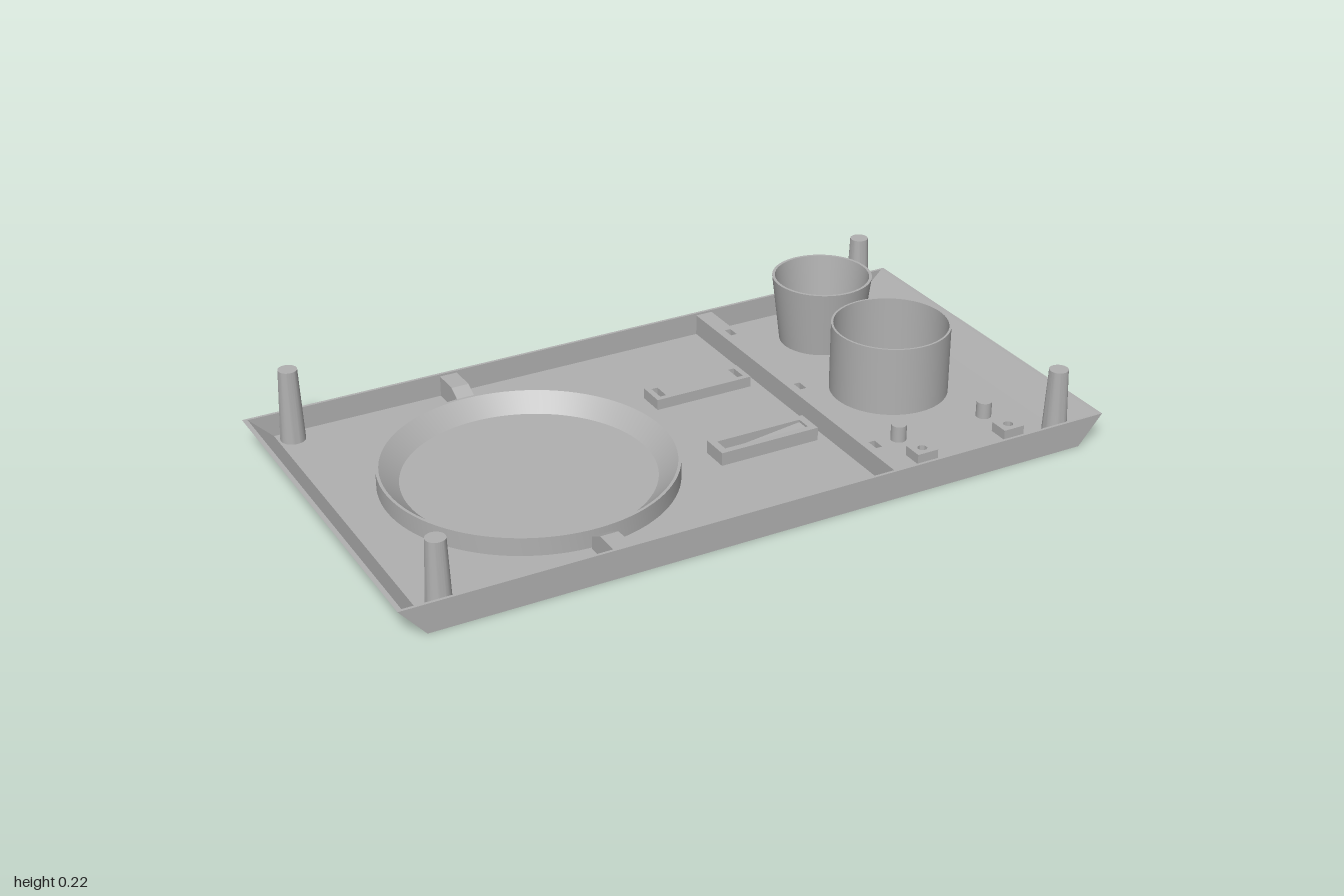
import * as THREE from 'three';
import { toCreasedNormals } from 'three/addons/utils/BufferGeometryUtils.js';

const FLOOR = 0.015, RIM = 0.08, HALF = 0.525, WALL = 0.008;

export function createModel() {
  const group = new THREE.Group();
  const grey = new THREE.MeshStandardMaterial({ color: 0xb0b0b0 });
  grey.name = 'plain grey';

  const add = (name, geo, x = 0, y = 0, z = 0) => {
    const mesh = new THREE.Mesh(geo, grey);
    mesh.name = name;
    mesh.position.set(x, y, z);
    group.add(mesh);
    return mesh;
  };
  const poly = (pts) => new THREE.Shape(pts.map(([x, y]) => new THREE.Vector2(x, y)));
  const rect = (x, z, w, d) => [[x - w / 2, z - d / 2], [x + w / 2, z - d / 2], [x + w / 2, z + d / 2], [x - w / 2, z + d / 2]];
  const extrude = (shape, depth) => new THREE.ExtrudeGeometry(shape, { depth, bevelEnabled: false, curveSegments: 16 });
  // Horizontal slab: the shape is drawn in x and z, with its top at height top
  const slab = (name, shape, bottom, top) => {
    const geo = toCreasedNormals(extrude(shape, top - bottom), 0.6);
    geo.rotateX(Math.PI / 2);
    return add(name, geo, 0, top, 0);
  };
  const circleHole = (x, z, r) => new THREE.Path().absarc(x, z, r, 0, Math.PI * 2, true);
  const turned = (name, pts, x, z, segments = 64) => {
    const geo = new THREE.LatheGeometry(pts.map(([r, y]) => new THREE.Vector2(r, y)), segments);
    return add(name, toCreasedNormals(geo, 0.5), x, 0, z);
  };

  // Tray floor with screw holes under the posts
  const floor = poly(rect(0, 0, 1.84, 2 * (HALF - WALL)));
  const corners = [[-0.88, -0.48], [0.88, -0.48], [-0.88, 0.48], [0.88, 0.48]];
  for (const [x, z] of corners) floor.holes.push(circleHole(x, z, 0.026));
  slab('trayFloor', floor, 0, FLOOR);

  // Sloping end walls
  for (const s of [1, -1]) {
    const pts = [[0.92, 0], [0.93, 0], [1, RIM], [0.987, RIM], [0.92, FLOOR]];
    const end = extrude(poly(pts.map(([x, y]) => [s * x, y])), 2 * (HALF - WALL));
    add(s > 0 ? 'leftEndWall' : 'rightEndWall', end, 0, 0, -HALF + WALL);
  }
  // Upright front and back walls
  const side = poly([[-0.93, 0], [0.93, 0], [1, RIM], [-1, RIM]]);
  add('frontWall', extrude(side, WALL), 0, 0, HALF - WALL);
  add('backWall', extrude(side, WALL), 0, 0, -HALF);

  // Tapered, bored corner posts
  for (const [x, z] of corners) {
    turned('cornerPost', [[0, 0.12], [0.018, 0.12], [0.018, FLOOR], [0.034, FLOOR], [0.0255, 0.22], [0, 0.22]], x, z, 32);
  }

  // Round dish with a sloping inner rim
  turned('dish', [[0.39, FLOOR], [0.39, 0.065], [0.382, 0.065], [0.332, FLOOR + 0.004], [0, FLOOR + 0.004]], -0.42, 0, 96);

  // Straight cup and tapered cup
  turned('straightCup', [[0.163, FLOOR], [0.163, 0.21], [0.157, 0.21], [0.157, FLOOR + 0.004], [0, FLOOR + 0.004]], 0.66, 0.025);
  turned('taperedCup', [[0.117, FLOOR], [0.141, 0.21], [0.133, 0.21], [0.109, FLOOR + 0.004], [0, FLOOR + 0.004]], 0.66, -0.33);

  // Divider with three slots
  const divider = poly(rect(0.383, 0, 0.05, 2 * (HALF - WALL)));
  for (const z of [-0.375, 0, 0.372]) divider.holes.push(poly(rect(0.39, z, 0.018, 0.036)));
  slab('divider', divider, FLOOR, 0.074);

  // Wedge brackets between the dish and the long walls
  for (const s of [1, -1]) {
    const profile = poly([[0.395, FLOOR], [0.517, FLOOR], [0.517, 0.074], [0.44, 0.074], [0.395, 0.05]]);
    const bracket = extrude(profile, 0.05);
    bracket.rotateY(-s * Math.PI / 2);
    add(s > 0 ? 'frontBracket' : 'backBracket', bracket, -0.415 + s * 0.025, 0, 0);
  }

  // Low bar with a slot near each end
  const bar = poly(rect(0.185, -0.2, 0.29, 0.08));
  for (const x of [0.065, 0.305]) bar.holes.push(poly(rect(x, -0.2, 0.018, 0.05)));
  slab('slottedBar', bar, FLOOR, 0.045);

  // Frame with a sloping wedge inside
  const frame = poly(rect(0.185, 0.15, 0.29, 0.08));
  frame.holes.push(poly(rect(0.185, 0.15, 0.25, 0.042)));
  slab('pocketFrame', frame, FLOOR, 0.052);
  add('pocketWedge', extrude(poly([[0.06, FLOOR], [0.31, FLOOR], [0.31, 0.045]]), 0.042), 0, 0, 0.129);

  // Small pegs and pierced blocks
  for (const x of [0.52, 0.793]) {
    add('peg', new THREE.CylinderGeometry(0.021, 0.021, 0.045, 24), x, FLOOR + 0.0225, 0.287);
    const block = poly(rect(x, 0.397, 0.062, 0.056));
    block.holes.push(circleHole(x, 0.397, 0.013));
    slab('piercedBlock', block, FLOOR, 0.042);
  }
  return group;
}
